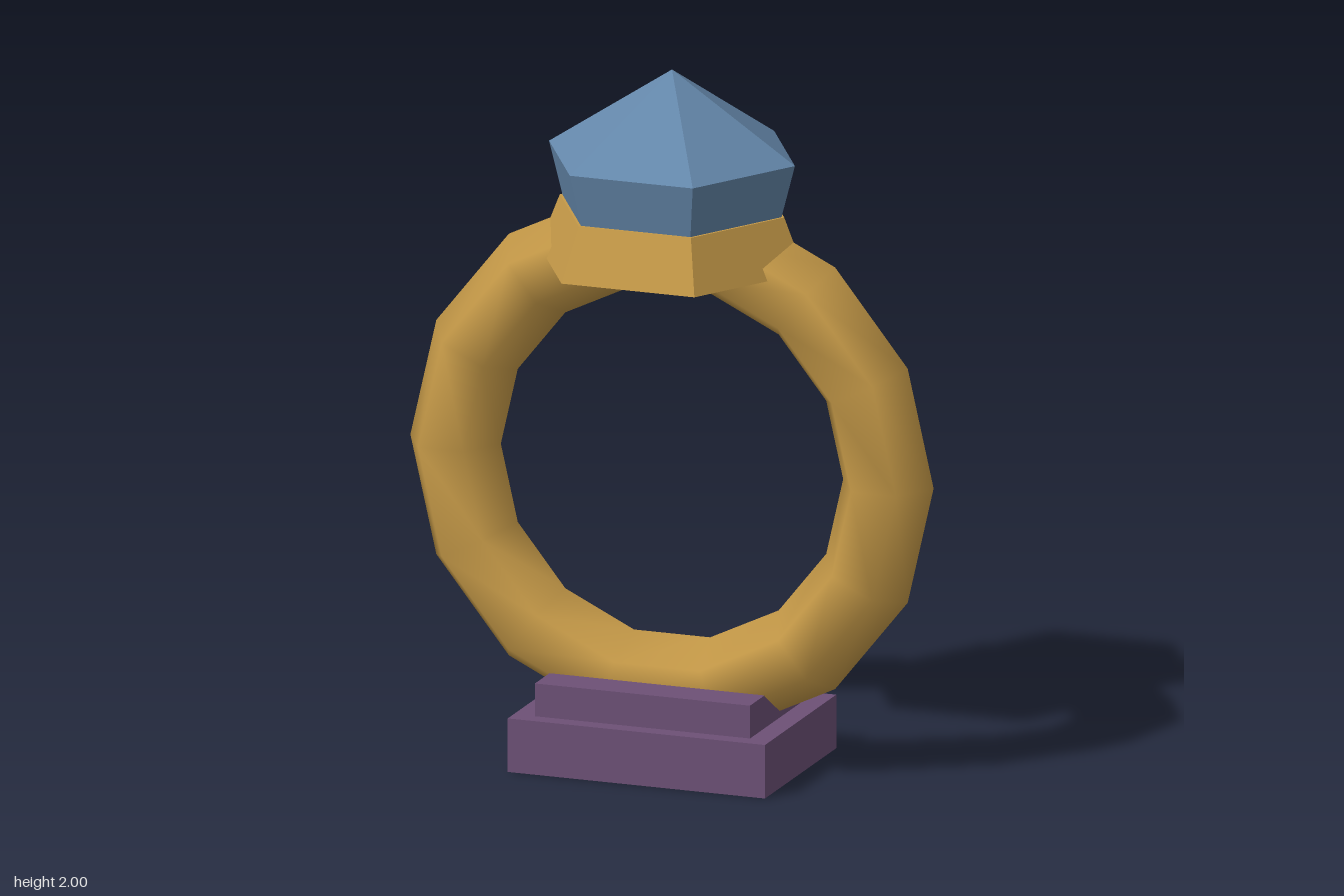
import * as THREE from 'three';

function makeMaterial(name, color) {
  const m = new THREE.MeshStandardMaterial({ color });
  m.name = name;
  return m;
}

export function createModel() {
  const gold = makeMaterial('gold', 0xc69a48);
  const blue = makeMaterial('gem blue', 0x6487aa);
  const purple = makeMaterial('stand purple', 0x6d5076);

  const model = new THREE.Group();
  model.name = 'gemRing';

  function add(name, geometry, material, y) {
    const mesh = new THREE.Mesh(geometry, material);
    mesh.name = name;
    mesh.position.y = y;
    model.add(mesh);
  }

  // Six-sided tapered slab with corners on the x axis and faceted normals
  function hexSlab(rTop, rBottom, yBottom, yTop) {
    const g = new THREE.CylinderGeometry(rTop, rBottom, yTop - yBottom, 6, 1, false, Math.PI / 6);
    const flat = g.toNonIndexed();
    flat.computeVertexNormals();
    return flat.translate(0, (yTop + yBottom) / 2, 0);
  }

  // Two-step stand
  add('standBase', new THREE.BoxGeometry(0.768, 0.155, 0.556), purple, 0.0775);
  add('standStep', new THREE.BoxGeometry(0.642, 0.095, 0.46), purple, 0.2025);

  // Smooth-shaded band with a hexagonal section
  add('band', new THREE.TorusGeometry(0.646, 0.135, 6, 14), gold, 0.865);

  // Flared setting and the cut gem above it
  add('setting', hexSlab(0.335, 0.397, 1.45, 1.605), gold, 0);
  add('gemPavilion', hexSlab(0.367, 0.327, 1.605, 1.757), blue, 0);
  add('gemCrown', hexSlab(0, 0.367, 1.757, 2), blue, 0);

  return model;
}
